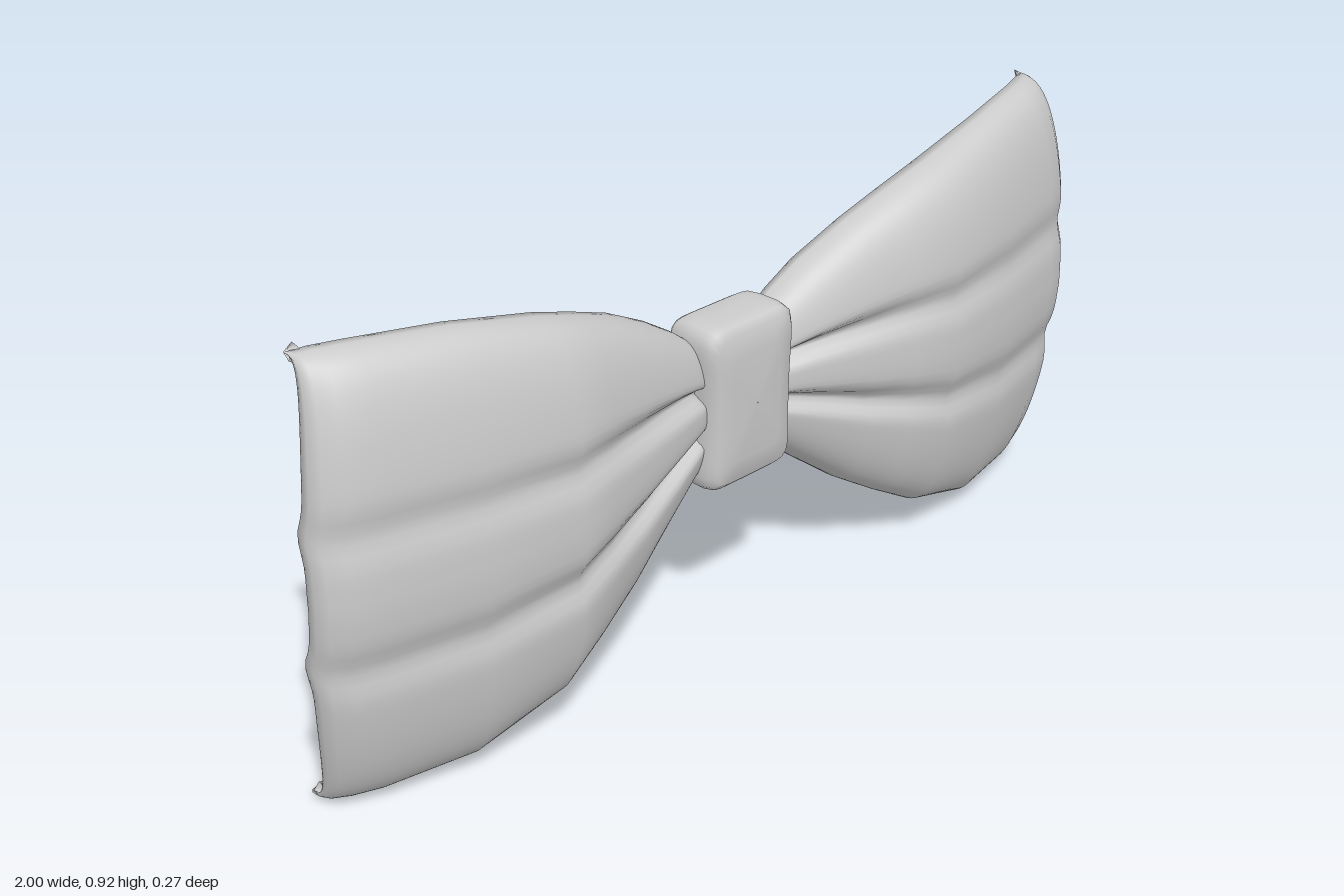
import * as THREE from 'three';

const material = new THREE.MeshStandardMaterial({ color: 0xcccccc, side: THREE.DoubleSide });

// Wing stations: x, top y, bottom y, front z, rim z, backward lean of the lower half, crease depth
const stations = [
  [0.085, 0.64, 0.37, 0.02, -0.050, 0.005, 0.030],
  [0.13, 0.675, 0.34, 0.04, -0.052, 0.010, 0.034],
  [0.20, 0.72, 0.285, 0.062, -0.045, 0.015, 0.032],
  [0.31, 0.78, 0.20, 0.092, -0.022, 0.020, 0.026],
  [0.41, 0.82, 0.137, 0.115, -0.008, 0.022, 0.021],
  [0.51, 0.855, 0.08, 0.137, 0.003, 0.025, 0.018],
  [0.71, 0.895, 0.02, 0.113, -0.008, 0.032, 0.013],
  [0.90, 0.908, 0.005, 0.070, -0.050, 0.040, 0.012],
  [0.96, 0.907, 0.002, 0.048, -0.072, 0.043, 0.012],
  [0.99, 0.905, 0.003, 0.025, -0.080, 0.045, 0.012],
  [1.00, 0.903, 0.005, 0.000, -0.086, 0.045, 0.014],
  [0.997, 0.900, 0.008, -0.024, -0.090, 0.045, 0.016],
];

function indexedGeometry(positions, index) {
  const g = new THREE.BufferGeometry();
  g.setAttribute('position', new THREE.Float32BufferAttribute(positions, 3));
  g.setIndex(index);
  g.computeVertexNormals();
  return g;
}

// Billowed cloth shell: outer skin, inset lining, and a rim joining the two
function wingGeometry(side) {
  const nu = stations.length - 1, nv = 64, row = nv + 1;
  const positions = [], skin = [];
  const pleat = (f, c) => Math.exp(-(((f - c) / 0.085) ** 2));

  for (const [x, top, bottom, front, rim, lean, crease] of stations) {
    const mid = (top + bottom) / 2, half = (top - bottom) / 2;
    for (let j = 0; j <= nv; j++) {
      const f = Math.sin((j / nv - 0.5) * Math.PI);
      const arch = Math.cbrt(Math.max(0, 1 - Math.abs(f) ** 3));
      const bow = 0.045 * Math.max(0, (x - 0.5) / 0.5) * f * f;
      const z = rim + (front - rim) * arch - lean * Math.max(0, -f)
        - crease * (pleat(f, 0.31) + 1.15 * pleat(f, -0.28));
      positions.push(side * (x - bow), mid + half * f, z);
    }
  }
  const index = [];
  const tri = (a, b, c) => (side > 0 ? index.push(a, b, c) : index.push(a, c, b));
  for (let i = 0; i < nu; i++) {
    for (let j = 0; j < nv; j++) {
      const a = i * row + j, b = a + row;
      skin.push([a, b, b + 1], [a, b + 1, a + 1]);
    }
  }
  skin.forEach(([a, b, c]) => tri(a, b, c));

  // lining
  const normals = indexedGeometry(positions, index).attributes.normal;
  const count = positions.length / 3;
  for (let k = 0; k < count; k++) {
    const t = k < row ? 0.012 : 0.022;
    positions.push(
      positions[3 * k] - normals.getX(k) * t,
      positions[3 * k + 1] - normals.getY(k) * t,
      positions[3 * k + 2] - normals.getZ(k) * t);
  }
  skin.forEach(([a, b, c]) => tri(a + count, c + count, b + count));

  // rim
  const border = [];
  for (let i = 0; i < nu; i++) border.push(i * row);
  for (let j = 0; j < nv; j++) border.push(nu * row + j);
  for (let i = nu; i > 0; i--) border.push(i * row + nv);
  for (let j = nv; j > 0; j--) border.push(j);
  border.forEach((p, k) => {
    const q = border[(k + 1) % border.length];
    tri(q, p, p + count);
    tri(q, p + count, q + count);
  });
  return indexedGeometry(positions, index);
}

// Hollow knot: rounded-rectangle rings running inside, round the back rim, over the front
function knotGeometry() {
  const rings = [ // half width, half height, z
    [0.001, 0.001, 0.038], [0.06, 0.10, 0.036], [0.088, 0.14, 0.022], [0.098, 0.150, -0.01],
    [0.098, 0.150, -0.066], [0.102, 0.155, -0.074], [0.112, 0.164, -0.074], [0.118, 0.170, -0.064],
    [0.120, 0.174, -0.03], [0.120, 0.174, 0.015], [0.116, 0.170, 0.038], [0.104, 0.158, 0.052],
    [0.07, 0.11, 0.058], [0.001, 0.001, 0.060],
  ];
  const n = 64, positions = [], index = [];
  for (const [w, h, z] of rings) {
    for (let j = 0; j < n; j++) {
      const a = (j / n) * Math.PI * 2, c = Math.cos(a), s = Math.sin(a);
      const r = (Math.abs(c) ** 8 + Math.abs(s) ** 8) ** (-1 / 8);
      const y = h * s * r;
      const waist = 1 - 0.09 * Math.max(0, 1 - (y / 0.174) ** 2);
      positions.push(w * c * r * waist, 0.515 + y, z + 0.03 * y);
    }
  }
  for (let i = 0; i < rings.length - 1; i++) {
    for (let j = 0; j < n; j++) {
      const a = i * n + j, b = i * n + ((j + 1) % n);
      index.push(a, b, b + n, a, b + n, a + n);
    }
  }
  return indexedGeometry(positions, index);
}

export function createModel() {
  const group = new THREE.Group();
  group.name = 'bowTie';
  const add = (name, geometry) => {
    const mesh = new THREE.Mesh(geometry, material);
    mesh.name = name;
    group.add(mesh);
  };
  add('leftWing', wingGeometry(1));
  add('rightWing', wingGeometry(-1));
  add('knot', knotGeometry());
  return group;
}
